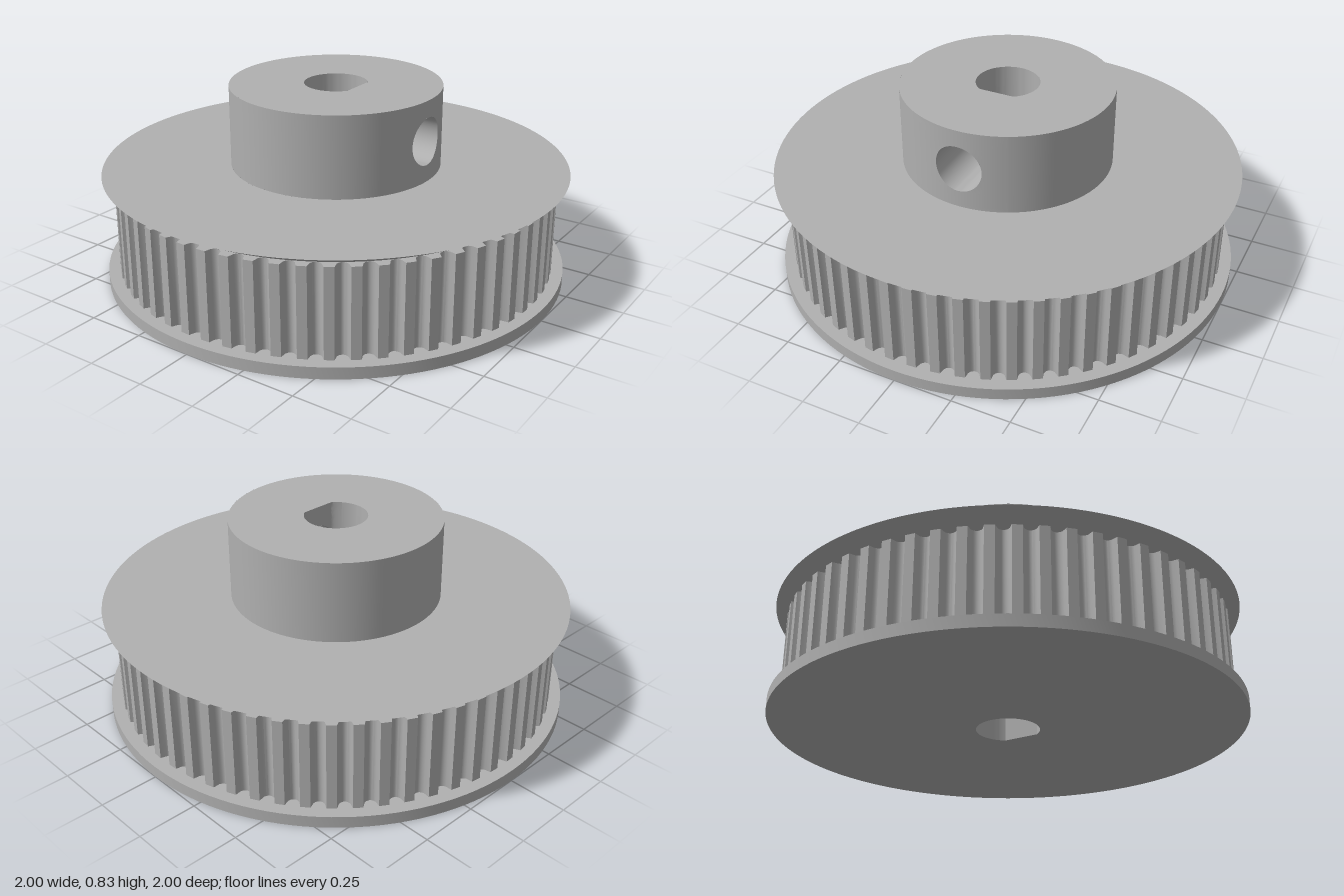
import * as THREE from 'three';
import { toCreasedNormals } from 'three/addons/utils/BufferGeometryUtils.js';

const HUB_R = 0.453, HUB_BOTTOM = 0.48, HUB_TOP = 0.83;
const BORE_R = 0.135, FLAT_X = 0.11;
const SCREW_Y = (HUB_BOTTOM + HUB_TOP) / 2, SCREW_R = 0.102, TAP_R = 0.085;
const TEETH = 60;

// Surface through a list of equally long rows of points
function loft(rows) {
  const n = rows[0].length, index = [];
  for (let i = 0; i < rows.length - 1; i++) {
    for (let j = 0; j < n - 1; j++) {
      const a = i * n + j, b = a + n;
      index.push(a, b, b + 1, a, b + 1, a + 1);
    }
  }
  const g = new THREE.BufferGeometry();
  g.setAttribute('position', new THREE.Float32BufferAttribute(rows.flat(2), 3));
  g.setIndex(index);
  return toCreasedNormals(g, 0.5);
}

// x of the hub's outside and of the bore on the screw side
const hubX = z => Math.sqrt(HUB_R ** 2 - z * z);
const boreX = z => Math.min(FLAT_X, Math.sqrt(BORE_R ** 2 - z * z));

// Rows from a round hole out to a rectangle, lying on the surface x(z)
function holedPatch(surfaceX, halfZ, radius) {
  const halfY = (HUB_TOP - HUB_BOTTOM) / 2, steps = 16, rings = 6;
  const corners = [[1, -1], [1, 1], [-1, 1], [-1, -1], [1, -1]];
  const rows = [];
  for (let k = 0; k <= rings; k++) {
    const row = [];
    for (let j = 0; j <= 4 * steps; j++) {
      const side = Math.min(3, Math.floor(j / steps)), f = j / steps - side;
      const [p, q] = [corners[side], corners[side + 1]];
      const u = (p[0] + (q[0] - p[0]) * f) * halfZ;
      const v = (p[1] + (q[1] - p[1]) * f) * halfY;
      const a = Math.atan2(v, u), t = k / rings;
      const z = -THREE.MathUtils.lerp(radius * Math.cos(a), u, t);
      const y = SCREW_Y + THREE.MathUtils.lerp(radius * Math.sin(a), v, t);
      row.push([surfaceX(z), y, z]);
    }
    rows.push(row);
  }
  return rows;
}

// Circle around the screw axis
function screwRing(radius, xOf) {
  return Array.from({ length: 65 }, (_, j) => {
    const a = j / 64 * Math.PI * 2, z = -radius * Math.cos(a);
    return [xOf(z), SCREW_Y + radius * Math.sin(a), z];
  });
}

// Arc of the bore, leaving a gap around +x
function boreArc(gap) {
  return Array.from({ length: 65 }, (_, j) => {
    const a = gap + (2 * Math.PI - 2 * gap) * j / 64;
    return [BORE_R * Math.cos(a), BORE_R * Math.sin(a)];
  });
}
const D_PROFILE = boreArc(Math.acos(FLAT_X / BORE_R));

// Round face with the D-shaped bore cut out
function boredDisc(radius) {
  const shape = new THREE.Shape().absarc(0, 0, radius, 0, Math.PI * 2);
  shape.holes.push(new THREE.Path(D_PROFILE.map(([x, y]) => new THREE.Vector2(x, y))));
  return new THREE.ShapeGeometry(shape, 64);
}

const boreWall = (profile, y0, y1) =>
  loft([y0, y1].map(y => profile.map(([x, s]) => [x, y, -s])));

const lathe = points => toCreasedNormals(
  new THREE.LatheGeometry(points.map(([r, y]) => new THREE.Vector2(r, y)), 128), 0.4);

// Belt wheel with rounded grooves between flat lands
function toothedWheel() {
  const points = [], land = 0.4, steps = 8;
  for (let i = 0; i < TEETH; i++) {
    for (let k = 0; k <= steps; k++) {
      const f = k / steps;
      const r = 0.95 - 0.04 * Math.sqrt(Math.max(0, 1 - (2 * f - 1) ** 2));
      const a = (i + (f - 0.5) * (1 - land)) / TEETH * Math.PI * 2;
      points.push(new THREE.Vector2(r * Math.cos(a), r * Math.sin(a)));
    }
  }
  const shape = new THREE.Shape(points);
  shape.holes.push(new THREE.Path().absarc(0, 0, 0.6, 0, Math.PI * 2, true));
  const g = new THREE.ExtrudeGeometry(shape, { depth: 0.38, bevelEnabled: false, curveSegments: 32 });
  return toCreasedNormals(g.rotateX(-Math.PI / 2).translate(0, 0.05, 0), 0.5);
}

export function createModel() {
  const group = new THREE.Group();
  group.name = 'timingPulley';
  const metal = new THREE.MeshStandardMaterial({ color: 0xb0b0b0, side: THREE.DoubleSide });
  metal.name = 'grey metal';
  const add = (name, geometry) => {
    const mesh = new THREE.Mesh(geometry, metal);
    mesh.name = name;
    group.add(mesh);
  };

  // Flanges and toothed rim
  add('bottomFace', boredDisc(1).rotateX(Math.PI / 2));
  add('bottomFlange', lathe([[1, 0], [1, 0.05], [0.88, 0.05]]));
  add('toothedRim', toothedWheel());
  add('topFlange', lathe([[0.9, 0.43], [0.91, 0.43], [1, 0.48], [HUB_R, 0.48]]));

  // Hub wall, with a patch around the screw hole
  const halfZ = 0.2, gap = Math.asin(halfZ / HUB_R);
  add('hubWall', new THREE.CylinderGeometry(HUB_R, HUB_R, HUB_TOP - HUB_BOTTOM, 96, 1, true,
    Math.PI / 2 + gap, 2 * Math.PI - 2 * gap).translate(0, SCREW_Y, 0));
  add('hubScrewSide', loft(holedPatch(hubX, halfZ, SCREW_R)));
  add('hubTop', boredDisc(HUB_R).rotateX(-Math.PI / 2).translate(0, HUB_TOP, 0));

  // Stepped screw hole running into the bore
  add('screwHole', loft([
    screwRing(TAP_R, boreX), screwRing(TAP_R, () => 0.17),
    screwRing(SCREW_R, () => 0.17), screwRing(SCREW_R, hubX),
  ]));

  // D-shaped bore, closed along its flat
  const boreHalf = 0.11;
  add('lowerBore', boreWall([...D_PROFILE, D_PROFILE[0]], 0, HUB_BOTTOM));
  add('upperBore', boreWall(boreArc(Math.asin(boreHalf / BORE_R)), HUB_BOTTOM, HUB_TOP));
  add('boreScrewSide', loft(holedPatch(boreX, boreHalf, TAP_R).reverse()));

  return group;
}
